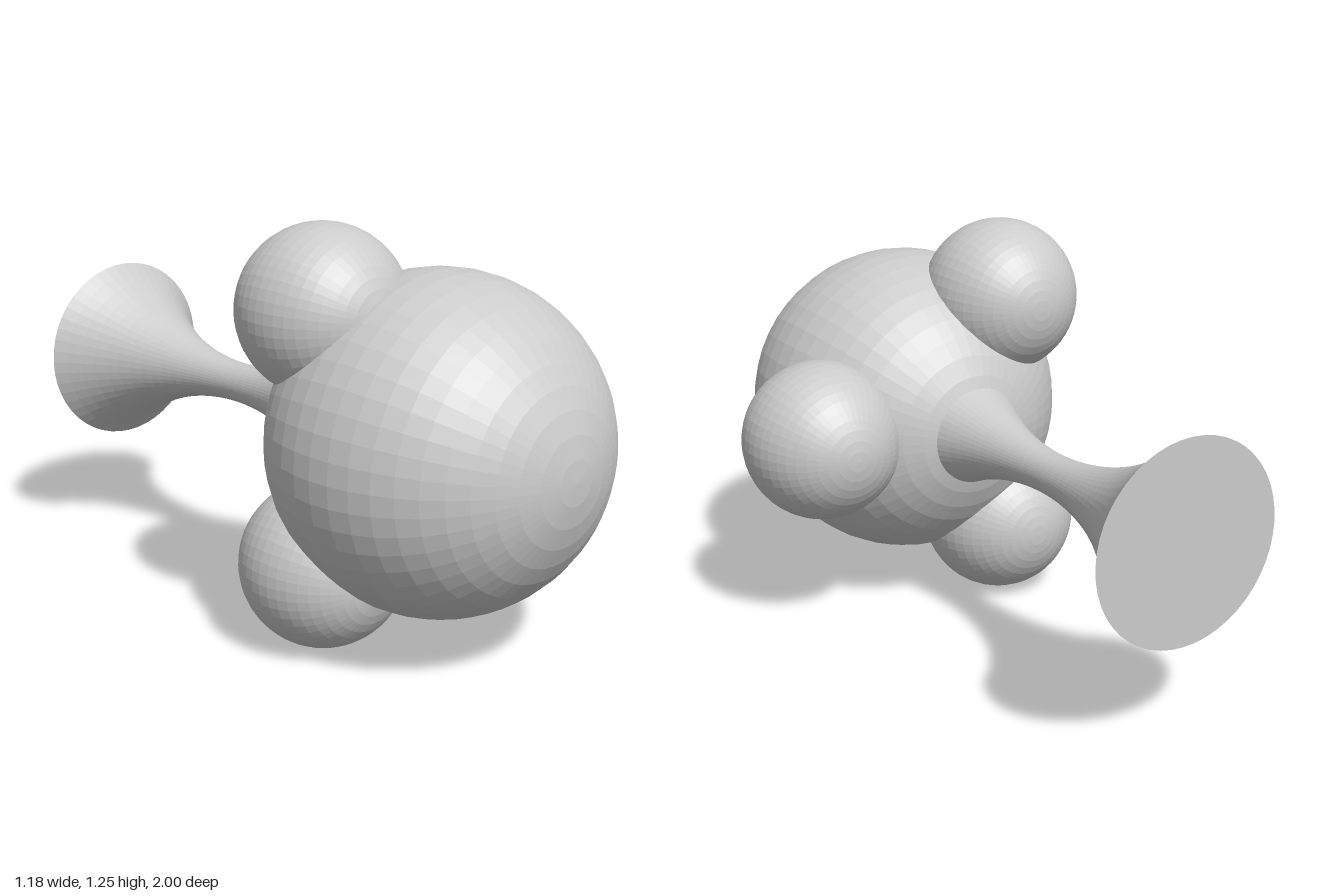
import * as THREE from 'three';

const AXIS_X = -0.095, AXIS_Y = 0.628;

export function createModel() {
  const group = new THREE.Group();
  const material = new THREE.MeshStandardMaterial({ color: 0xcccccc, flatShading: true });

  const add = (name, geometry, x, y, z) => {
    const mesh = new THREE.Mesh(geometry, material);
    mesh.name = name;
    mesh.position.set(x, y, z);
    group.add(mesh);
  };
  // Spheres have their poles along z
  const ball = (r) => new THREE.SphereGeometry(r, 48, 24).rotateX(Math.PI / 2);

  // Main body
  add('body', ball(0.498), AXIS_X, AXIS_Y, 0.5);

  // Three lobes spaced evenly around the z axis
  for (let i = 0; i < 3; i++) {
    const a = (i * Math.PI * 2) / 3;
    add('lobe' + (i + 1), ball(0.248),
      AXIS_X + 0.434 * Math.cos(a), AXIS_Y + 0.434 * Math.sin(a), 0.25);
  }

  // Flared stem: a circular arc, waisted at z = -0.375, with a flat end disc
  const waist = 0.0625, arc = 0.948, waistZ = -0.375, steps = 28;
  const profile = [new THREE.Vector2(0, -1)];
  for (let i = 0; i <= steps; i++) {
    const z = -1 + (1.06 * i) / steps;
    const r = waist + arc - Math.sqrt(arc * arc - (z - waistZ) ** 2);
    profile.push(new THREE.Vector2(r, z));
  }
  profile.push(new THREE.Vector2(0, 0.06));
  add('flaredStem', new THREE.LatheGeometry(profile, 48).rotateX(Math.PI / 2), AXIS_X, AXIS_Y, 0);

  return group;
}
